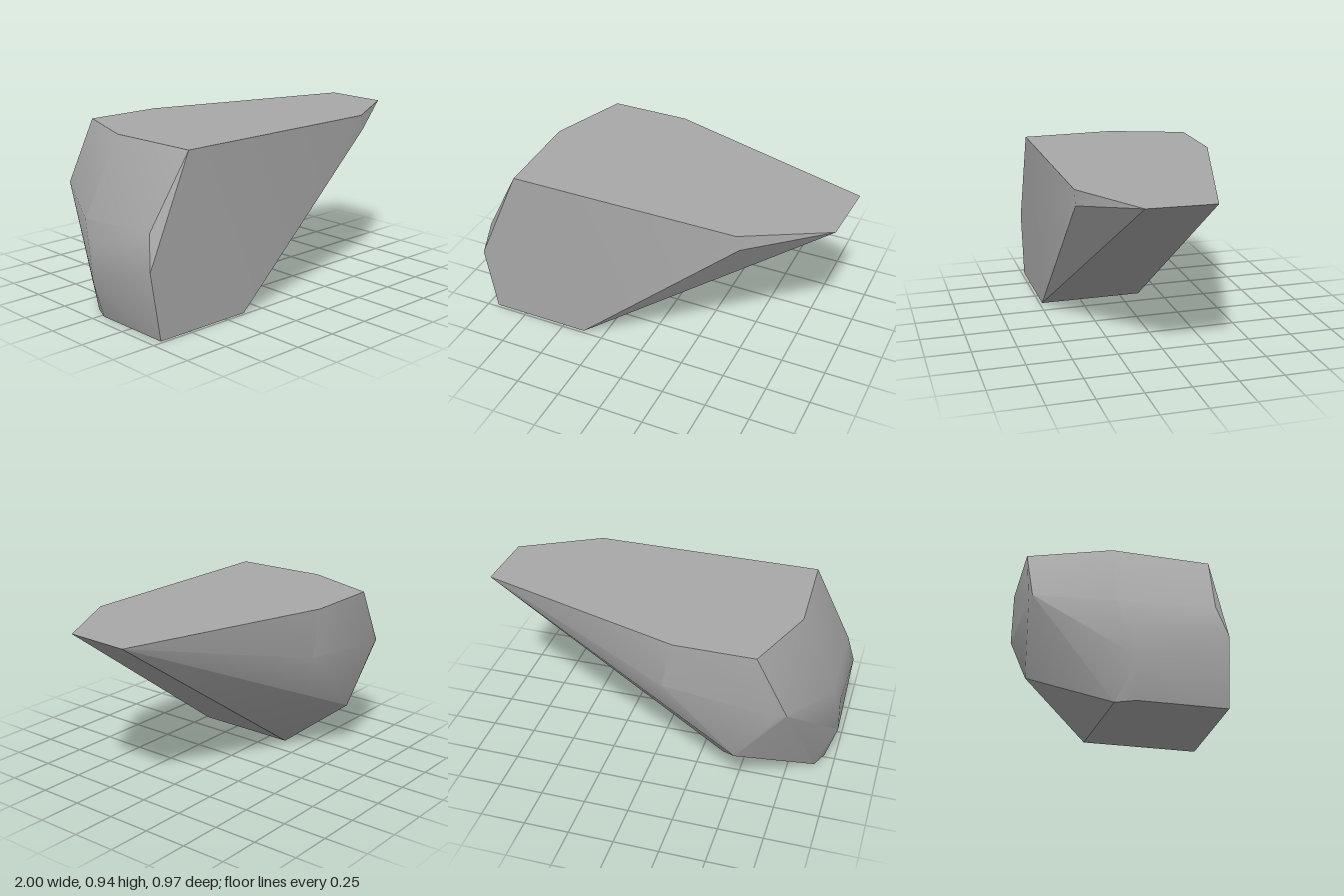
import * as THREE from 'three';
import { ConvexGeometry } from 'three/addons/geometries/ConvexGeometry.js';
import { toCreasedNormals } from 'three/addons/utils/BufferGeometryUtils.js';

const TOP = 0.94;
const FRONT = 0.484;

export function createModel() {
  const group = new THREE.Group();
  group.name = 'rock';

  const stone = new THREE.MeshStandardMaterial({ color: 0xa8a8a8 });
  stone.name = 'grey stone';

  // Flat top outline (x, z)
  const top = [
    [-0.745, FRONT], [-0.765, -0.05], [-0.61, -0.479], [-0.17, -0.479],
    [0.995, -0.12], [0.98, 0.245], [0.54, FRONT],
  ].map(([x, z]) => new THREE.Vector3(x, TOP, z));

  // Flat base outline (x, z)
  const base = [
    [-0.94, FRONT], [-0.37, FRONT], [-0.37, -0.117], [-0.896, -0.08], [-0.94, 0.02],
  ].map(([x, z]) => new THREE.Vector3(x, 0, z));

  // Corners between base and top (x, y, z)
  const sides = [
    [0.56, 0.86, FRONT], // chipped front corner
    [-1, 0.37, FRONT], [-0.96, 0.55, 0.435], // front edge of the blunt end
    [-1, 0.2, 0.02], [-0.995, 0.41, 0.02], [-0.965, 0.52, -0.08], // blunt end
    [-0.78, 0.61, -0.472], [-0.735, 0.6, -0.484], // back corner
    [-0.51, 0.27, -0.457], [-0.11, 0.675, -0.482], // back face
  ].map((p) => new THREE.Vector3(...p));

  // Convex hull, soft over shallow angles and sharp on strong ones
  const hull = new ConvexGeometry([...top, ...base, ...sides]);
  const rock = new THREE.Mesh(toCreasedNormals(hull, 0.55), stone);
  rock.name = 'rockBody';
  group.add(rock);

  return group;
}
